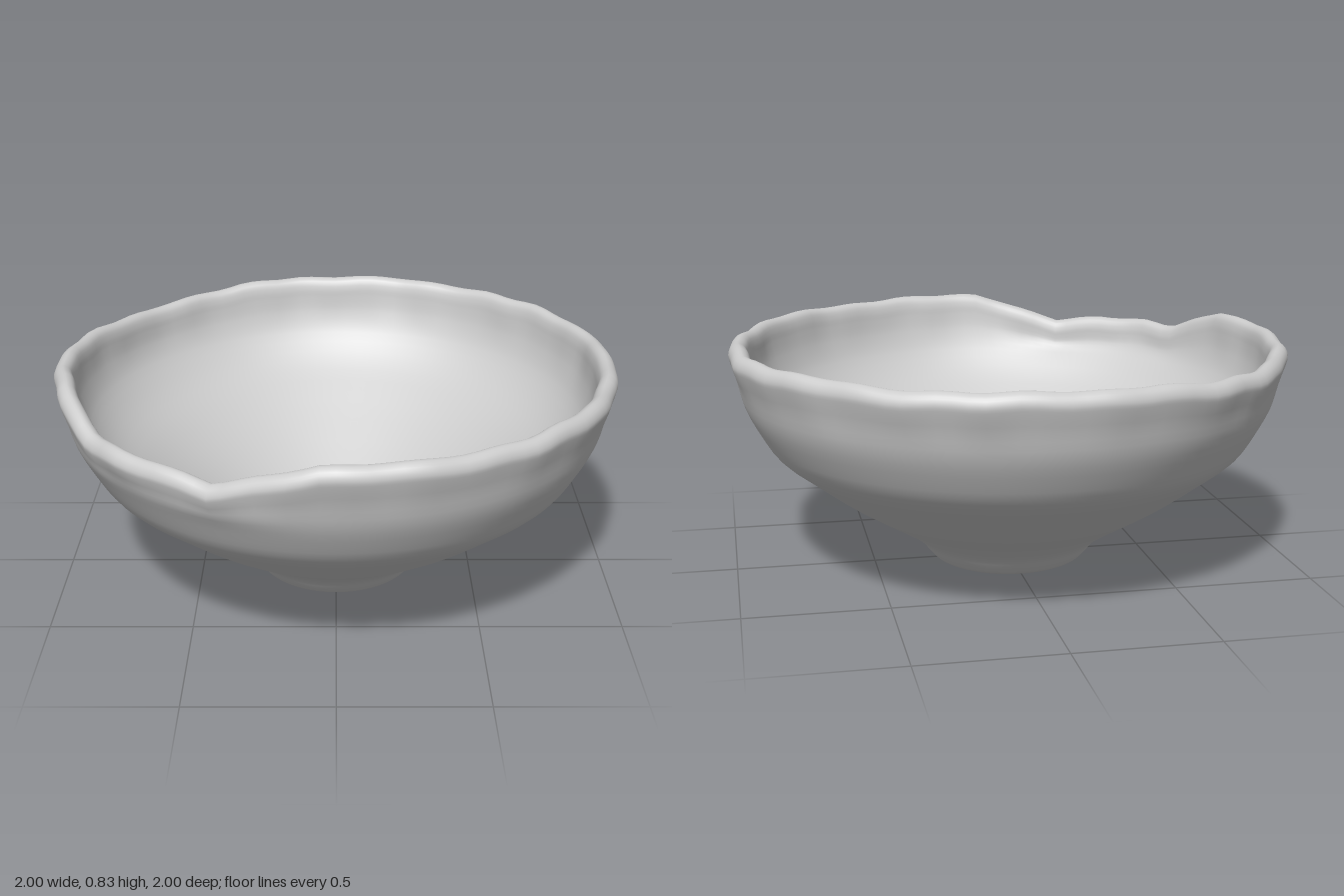
import * as THREE from 'three';
import { mergeVertices } from 'three/addons/utils/BufferGeometryUtils.js';

// Worn stretches of the rim: [angle from the front, drop]
const RIM_DROP = [
  [-2.82, 0], [-2.65, 0.022], [-2.25, 0.028], [-1.9, 0.018], [-1.6, 0], // shallow dip at the back
  [-1.25, 0], [-1.12, 0.04], [-0.98, 0.085], [-0.85, 0.075], [-0.62, 0.082], // deep chip at the front
  [-0.42, 0.105], [-0.3, 0.07], [-0.14, 0.02], [-0.05, 0],
];

function rimDrop(angle) {
  for (let i = 1; i < RIM_DROP.length; i++) {
    const [a0, d0] = RIM_DROP[i - 1], [a1, d1] = RIM_DROP[i];
    if (angle >= a0 && angle <= a1) return THREE.MathUtils.lerp(d0, d1, (angle - a0) / (a1 - a0));
  }
  return 0;
}

// Smooth curve through profile points, with the rounded rim between outside and inside
function bowlProfile() {
  const points = [
    [0.25, 0], [0.275, 0.012], [0.305, 0.045], [0.33, 0.075], [0.38, 0.115], // foot
    [0.6, 0.25], [0.75, 0.36], [0.85, 0.44], [0.9, 0.515], [0.948, 0.61], // outer wall
    [0.972, 0.7], [0.99, 0.76], [0.995, 0.788], [0.984, 0.814], [0.96, 0.827], [0.937, 0.815], // rim
    [0.926, 0.785], [0.922, 0.75], [0.912, 0.69], [0.88, 0.61], // inner wall
    [0.8, 0.515], [0.68, 0.425], [0.56, 0.342],
    [0.34, 0.203], [0.26, 0.17], [0.12, 0.153], [0, 0.15], // floor
  ].map(([r, y]) => new THREE.Vector3(r, y, 0));
  const curve = new THREE.CatmullRomCurve3(points, false, 'centripetal');
  const wall = curve.getPoints(78).map((p) => new THREE.Vector2(Math.max(p.x, 0), Math.max(p.y, 0)));
  return [new THREE.Vector2(0, 0), new THREE.Vector2(0.235, 0), ...wall];
}

// Hand-worn unevenness, strongest at the rim
function wear(geometry) {
  const pos = geometry.attributes.position;
  for (let i = 0; i < pos.count; i++) {
    const x = pos.getX(i), y = pos.getY(i), z = pos.getZ(i);
    const a = Math.atan2(x, z);
    const upper = THREE.MathUtils.smoothstep(y, 0.55, 0.81);
    const lip = THREE.MathUtils.smoothstep(y, 0.62, 0.8);
    const drop = rimDrop(a);
    const ripple = 0.003 * Math.sin(7 * a + 1) + 0.003 * Math.sin(17 * a + 2.3) + 0.002 * Math.sin(29 * a);
    const scale = 1 + lip * (ripple + 0.003 - 0.15 * drop);
    const bump = 0.003 * Math.sin(9 * a) + 0.003 * Math.sin(23 * a + 1.7);
    pos.setXYZ(i, x * scale, y - upper * drop + lip * bump, z * scale);
  }
}

export function createModel() {
  const group = new THREE.Group();
  group.name = 'bowl';

  let geometry = new THREE.LatheGeometry(bowlProfile(), 120);
  wear(geometry);
  // Weld the seam so the shading stays continuous
  geometry.deleteAttribute('uv');
  geometry.deleteAttribute('normal');
  geometry = mergeVertices(geometry, 1e-4);
  geometry.computeVertexNormals();

  const body = new THREE.Mesh(
    geometry,
    new THREE.MeshStandardMaterial({ color: 0xcccccc, side: THREE.DoubleSide })
  );
  body.name = 'bowlBody';
  group.add(body);
  return group;
}
